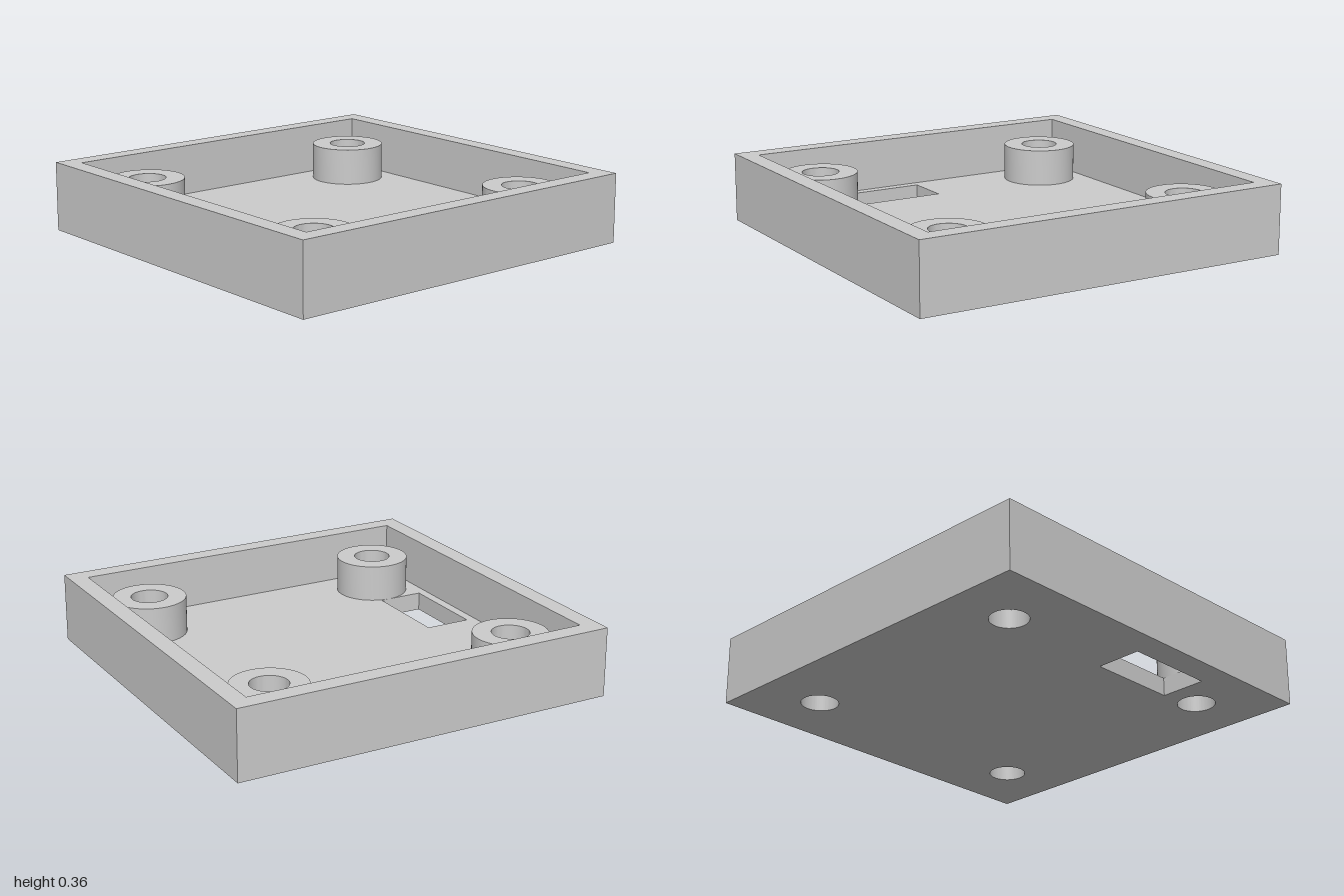
import * as THREE from 'three';
import { toCreasedNormals } from 'three/addons/utils/BufferGeometryUtils.js';

const HEIGHT = 0.357, FLOOR = 0.095, INNER = 0.905;
const BOSS_TOP = 0.286, BOSS_R = 0.19, HOLE_R = 0.095, BOSS_POS = 0.667;
const SEGMENTS = 64;

const material = new THREE.MeshStandardMaterial({ color: 0xcccccc });

function addPart(group, name, geometry) {
  const mesh = new THREE.Mesh(toCreasedNormals(geometry, 0.5), material);
  mesh.name = name;
  group.add(mesh);
  return mesh;
}

// Rectangle outline in plan; shape y is -z
function tracePlan(path, x0, z0, x1, z1) {
  path.moveTo(x0, -z0);
  path.lineTo(x0, -z1);
  path.lineTo(x1, -z1);
  path.lineTo(x1, -z0);
  path.closePath();
  return path;
}

// Revolve a [radius, y] profile
function revolve(profile, segments, start = 0) {
  const points = profile.map(([r, y]) => new THREE.Vector2(r, y));
  return new THREE.LatheGeometry(points, segments, start);
}

export function createModel() {
  const group = new THREE.Group();
  group.name = 'tray';
  const corners = [[-1, -1], [1, -1], [-1, 1], [1, 1]];

  // Floor plate with four screw holes and one rectangular slot
  const plan = tracePlan(new THREE.Shape(), -1, -1, 1, 1);
  for (const [sx, sz] of corners) {
    const hole = new THREE.Path();
    hole.absarc(sx * BOSS_POS, -sz * BOSS_POS, HOLE_R, 0, Math.PI * 2, true);
    plan.holes.push(hole);
  }
  plan.holes.push(tracePlan(new THREE.Path(), 0, 0.619, 0.476, 0.857));
  const floor = new THREE.ExtrudeGeometry(plan, {
    depth: FLOOR, bevelEnabled: false, curveSegments: SEGMENTS,
  });
  addPart(group, 'floor', floor.rotateX(-Math.PI / 2));

  // Square rim: a four-sided revolve turned to line up with the axes
  const d = Math.SQRT2;
  addPart(group, 'walls', revolve(
    [[d, FLOOR], [d, HEIGHT], [INNER * d, HEIGHT], [INNER * d, FLOOR]], 4, Math.PI / 4));

  // Hollow standoffs over the screw holes
  for (const [sx, sz] of corners) {
    const boss = addPart(group, 'standoff', revolve(
      [[BOSS_R, FLOOR], [BOSS_R, BOSS_TOP], [HOLE_R, BOSS_TOP], [HOLE_R, FLOOR]], SEGMENTS));
    boss.position.set(sx * BOSS_POS, 0, sz * BOSS_POS);
  }
  return group;
}
